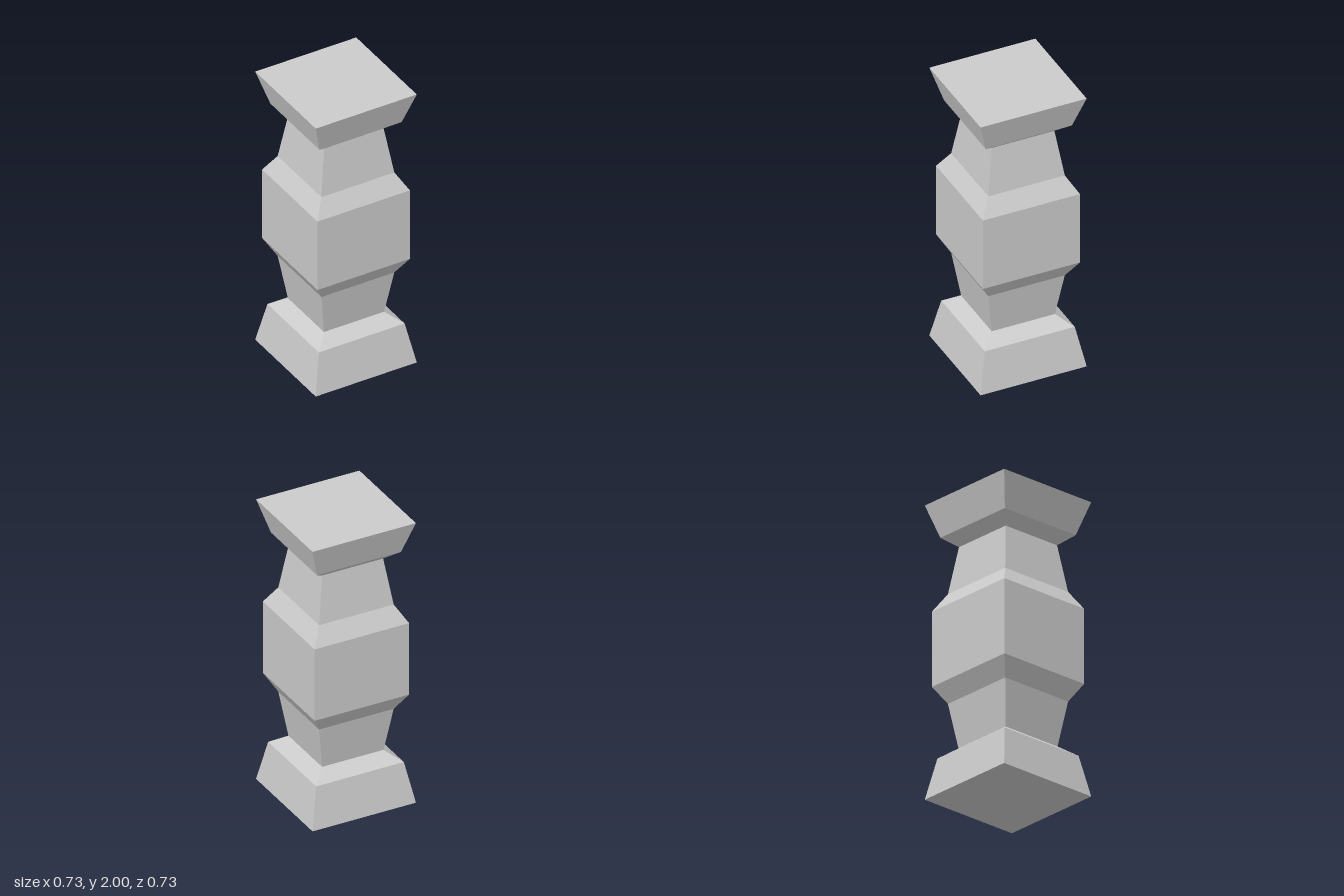
import * as THREE from 'three';

// Square-section solid swept from [half width, height] pairs, bottom to top
function squareTurned(name, profile, material) {
  const points = profile.map(([half, y]) => new THREE.Vector2(half * Math.SQRT2, y));
  const mesh = new THREE.Mesh(new THREE.LatheGeometry(points, 4, Math.PI / 4), material);
  mesh.name = name;
  return mesh;
}

export function createModel() {
  const group = new THREE.Group();
  group.name = 'squareBaluster';
  const stone = new THREE.MeshStandardMaterial({ color: 0xcccccc, flatShading: true });

  // Tapered foot with a sloped shoulder, closed underneath
  group.add(squareTurned('base', [[0, 0], [0.363, 0], [0.308, 0.278], [0.216, 0.344]], stone));

  // Lower neck, flaring upwards
  group.add(squareTurned('lowerNeck', [[0.216, 0.344], [0.262, 0.648]], stone));

  // Wide middle block with bevelled ends
  group.add(squareTurned('middleBlock',
    [[0.262, 0.648], [0.332, 0.766], [0.332, 1.277], [0.262, 1.394]], stone));

  // Upper neck, narrowing upwards
  group.add(squareTurned('upperNeck', [[0.262, 1.394], [0.214, 1.712]], stone));

  // Flared capital, closed on top
  group.add(squareTurned('capital', [[0.214, 1.712], [0.295, 1.778], [0.363, 2], [0, 2]], stone));

  return group;
}
